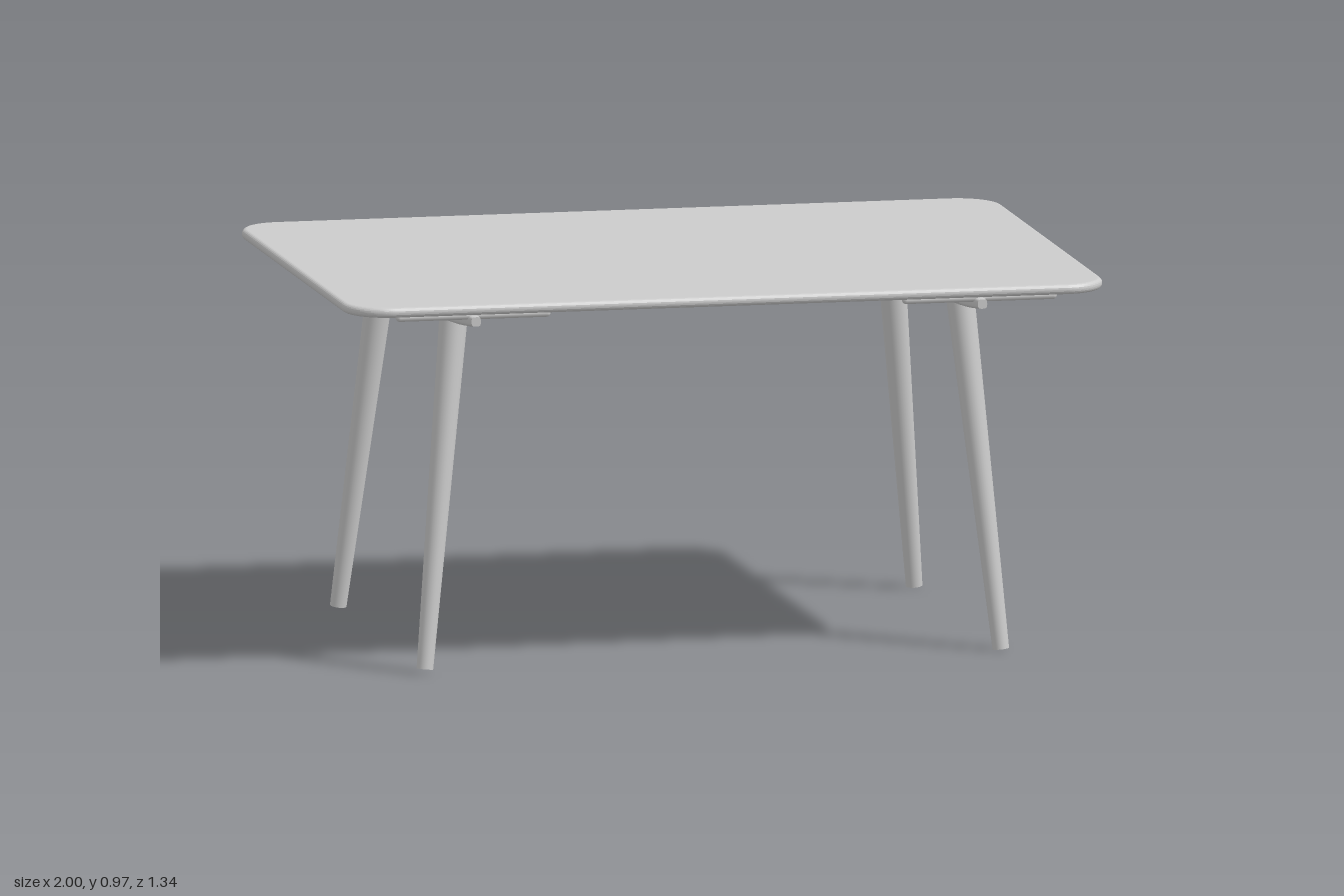
import * as THREE from 'three';

const material = new THREE.MeshStandardMaterial({ color: 0xcccccc });

function add(parent, name, geometry) {
  const mesh = new THREE.Mesh(geometry, material);
  mesh.name = name;
  parent.add(mesh);
  return mesh;
}

// Rounded rectangular board with a soft edge all round
function tabletopGeometry() {
  const bevel = 0.012, w = 0.982 - bevel, d = 0.643 - bevel, r = 0.1;
  const s = new THREE.Shape();
  s.moveTo(w, d - r);
  s.absarc(w - r, d - r, r, 0, Math.PI / 2);
  s.absarc(-w + r, d - r, r, Math.PI / 2, Math.PI);
  s.absarc(-w + r, -d + r, r, Math.PI, Math.PI * 1.5);
  s.absarc(w - r, -d + r, r, Math.PI * 1.5, Math.PI * 2);
  const g = new THREE.ExtrudeGeometry(s, {
    depth: 0.002, bevelEnabled: true, bevelSize: bevel, bevelThickness: bevel,
    bevelSegments: 5, curveSegments: 16,
  });
  g.rotateX(-Math.PI / 2);
  return g.translate(0, 0.951, 0);
}

// Boat-shaped beam: slim at the ends, belly curved downwards
function beamGeometry() {
  const half = 0.62, top = 0.931;
  const g = new THREE.CylinderGeometry(1, 1, 2, 28, 32);
  g.rotateX(Math.PI / 2);
  const p = g.attributes.position;
  const soften = (v) => Math.sign(v) * Math.pow(Math.abs(v), 0.6);
  for (let i = 0; i < p.count; i++) {
    const t = p.getZ(i);
    const swell = 1 - t * t;
    const bottom = 0.907 - 0.026 * (1 - t ** 4);
    const mid = (top + bottom) / 2, h = (top - bottom) / 2;
    p.setXYZ(i,
      soften(p.getX(i)) * (0.012 + 0.043 * swell),
      mid + soften(p.getY(i)) * h,
      t * half);
  }
  g.computeVertexNormals();
  return g;
}

// Tapered round leg running between two points
function addLeg(parent, name, top, bottom) {
  const dir = top.clone().sub(bottom);
  const leg = add(parent, name, new THREE.CylinderGeometry(0.036, 0.021, dir.length(), 32));
  leg.position.copy(top).add(bottom).multiplyScalar(0.5);
  leg.quaternion.setFromUnitVectors(new THREE.Vector3(0, 1, 0), dir.normalize());
}

export function createModel() {
  const model = new THREE.Group();
  model.name = 'table';
  const table = new THREE.Group();
  table.name = 'tableBody';
  table.rotation.set(0.003, -0.031, -0.006); // stands slightly askew
  model.add(table);

  add(table, 'tabletop', tabletopGeometry());

  for (const sx of [1, -1]) {
    const side = sx > 0 ? 'left' : 'right';
    const beam = add(table, side + 'Beam', beamGeometry());
    beam.position.x = sx * 0.655;

    // Thin round rods crossing the beam under the board
    for (const [z, length] of [[0.19, 0.4], [0.38, 0.51], [0.585, 0.4]]) {
      for (const sz of [1, -1]) {
        const rod = add(table, side + 'CrossRod', new THREE.CapsuleGeometry(0.0105, length - 0.021, 6, 14));
        rod.rotation.z = Math.PI / 2;
        rod.position.set(sx * 0.655, 0.93, sz * z);
      }
    }

    // Splayed legs
    for (const sz of [1, -1]) {
      addLeg(table, side + (sz > 0 ? 'FrontLeg' : 'BackLeg'),
        new THREE.Vector3(sx * 0.655, 0.9, sz * 0.378),
        new THREE.Vector3(sx * 0.745, 0.009, sz * 0.467));
    }
  }
  return model;
}
